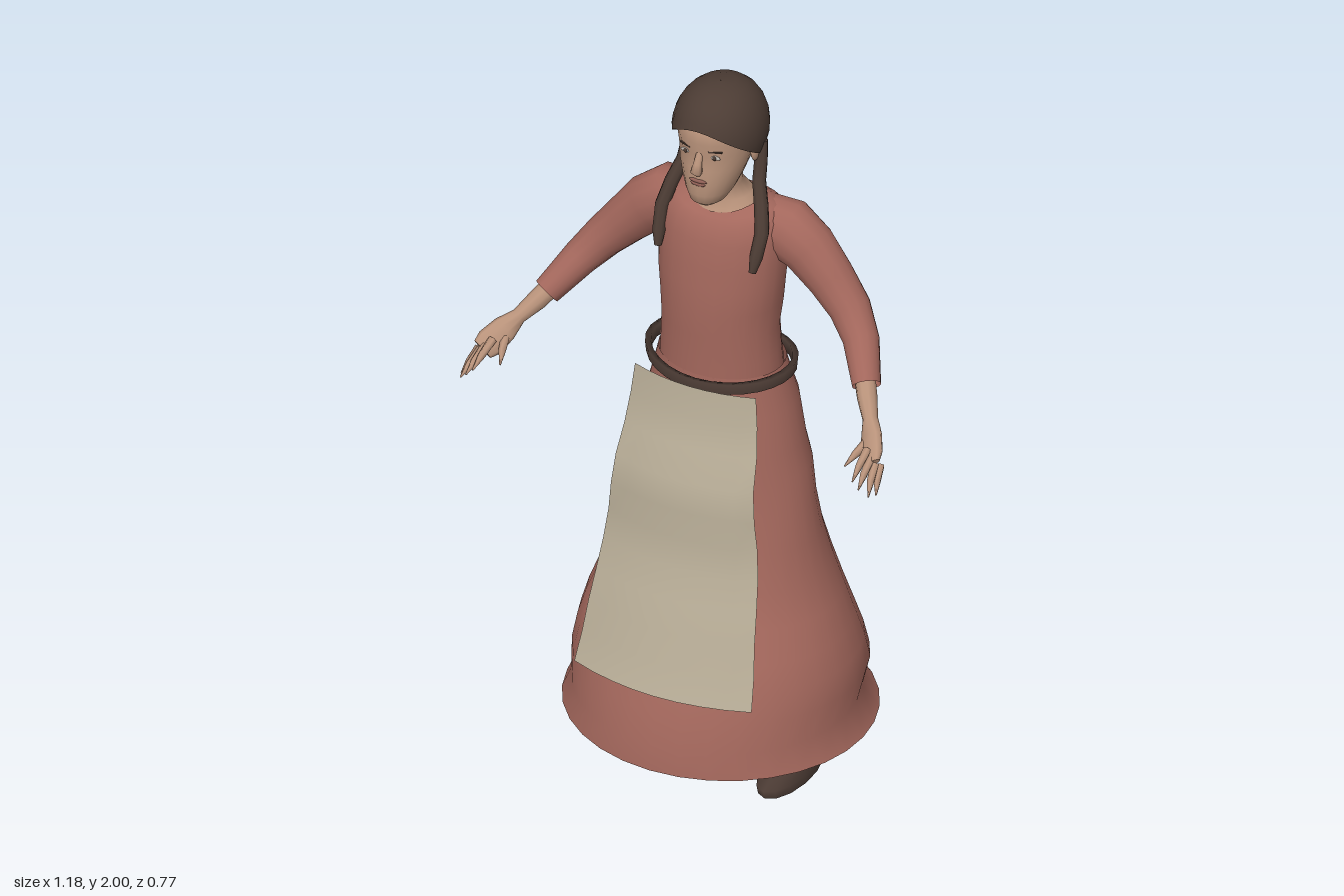
import * as THREE from 'three';

const mat = (name, color, double) => {
  const m = new THREE.MeshStandardMaterial({ color });
  m.name = name;
  if (double) m.side = THREE.DoubleSide;
  return m;
};

// Joins rings of points (each counter-clockwise about the path) into a smooth skin.
function skin(rings, { capStart = false, capEnd = false, skip = () => false } = {}) {
  const n = rings[0].length, pos = [], idx = [];
  rings.forEach(r => r.forEach(p => pos.push(p.x, p.y, p.z)));
  for (let i = 0; i < rings.length - 1; i++) for (let j = 0; j < n; j++) {
    if (skip(i, j)) continue;
    const k = (j + 1) % n, a = i * n + j, b = i * n + k;
    idx.push(a, b, b + n, a, b + n, a + n);
  }
  const cap = (i, flip) => {
    const c = new THREE.Vector3();
    rings[i].forEach(p => c.addScaledVector(p, 1 / n));
    const base = pos.length / 3;
    rings[i].concat([c]).forEach(p => pos.push(p.x, p.y, p.z));
    for (let j = 0; j < n; j++) {
      const k = (j + 1) % n;
      idx.push(base + n, base + (flip ? k : j), base + (flip ? j : k));
    }
  };
  if (capStart) cap(0, true);
  if (capEnd) cap(rings.length - 1, false);
  const g = new THREE.BufferGeometry();
  g.setAttribute('position', new THREE.Float32BufferAttribute(pos, 3));
  g.setIndex(idx);
  g.computeVertexNormals();
  return g;
}

// Upright body of oval sections [y, half width, back z, front z]; lift adjusts y round the ring.
function loft(sections, n, opts = {}) {
  const { cx = 0, lift = () => 0 } = opts;
  return skin(sections.map(([y, rx, zb, zf], i) => Array.from({ length: n }, (_, j) => {
    const a = j / n * Math.PI * 2;
    return new THREE.Vector3(cx + rx * Math.sin(a), y + lift(i, a), (zb + zf) / 2 + (zf - zb) / 2 * Math.cos(a));
  })), opts);
}

// Tapered limb through [x, y, z, radius, second radius].
function limb(points, n, opts) {
  const p = points.map(q => new THREE.Vector3(q[0], q[1], q[2]));
  return skin(p.map((c, i) => {
    const t = p[Math.min(i + 1, p.length - 1)].clone().sub(p[Math.max(i - 1, 0)]).normalize();
    const u = t.clone().cross(new THREE.Vector3(0, 0, 1)).normalize();
    const v = t.clone().cross(u);
    const [, , , r, r2 = r] = points[i];
    return Array.from({ length: n }, (_, j) => {
      const a = j / n * Math.PI * 2;
      return c.clone().addScaledVector(u, r * Math.cos(a)).addScaledVector(v, r2 * Math.sin(a));
    });
  }), opts);
}

export function createModel() {
  const model = new THREE.Group();
  const dress = mat('dress red', 0xa3675c, true);
  const linen = mat('apron linen', 0xb8ad97, true);
  const flesh = mat('skin', 0xb8927a);
  const hairMat = mat('hair brown', 0x4c3c34, true);
  const leather = mat('leather brown', 0x4a3a33);
  const lipMat = mat('lips', 0x8f5f55);
  const eyeMat = mat('eye white', 0xb9b2aa);
  const add = (name, geo, m, x = 0, y = 0, z = 0) => {
    const mesh = new THREE.Mesh(geo, m);
    mesh.name = name;
    mesh.position.set(x, y, z);
    model.add(mesh);
    return mesh;
  };

  // Skirt, open behind the apron
  add('skirt', loft([
    [0.14, 0.405, -0.38, 0.388], [0.21, 0.37, -0.325, 0.38], [0.29, 0.382, -0.35, 0.355],
    [0.36, 0.37, -0.325, 0.33], [0.43, 0.35, -0.295, 0.3], [0.51, 0.32, -0.265, 0.255],
    [0.6, 0.288, -0.24, 0.225], [0.7, 0.268, -0.2, 0.195], [0.8, 0.252, -0.178, 0.175],
    [0.89, 0.235, -0.188, 0.165], [0.96, 0.22, -0.175, 0.16], [1.07, 0.198, -0.172, 0.145],
    [1.13, 0.182, -0.152, 0.135], [1.185, 0.168, -0.14, 0.13],
  ], 32, { skip: (i, j) => i >= 5 && i < 10 && (j < 3 || j >= 29) }), dress);

  // Bodice with a scooped neckline
  add('bodice', loft([
    [1.15, 0.165, -0.135, 0.13], [1.22, 0.16, -0.127, 0.13], [1.3, 0.156, -0.122, 0.13],
    [1.37, 0.162, -0.14, 0.132], [1.44, 0.17, -0.132, 0.125], [1.5, 0.172, -0.142, 0.118],
    [1.57, 0.175, -0.143, 0.108], [1.62, 0.168, -0.135, 0.088], [1.65, 0.142, -0.125, 0.07],
    [1.664, 0.102, -0.11, 0.055],
  ], 24, { lift: (i, a) => i === 9 ? -0.03 * Math.cos(a) ** 2 : i === 8 ? -0.022 * Math.cos(a) ** 2 : 0 }), dress);

  // Belt ring
  add('belt', loft([
    [1.152, 0.2, -0.155, 0.152], [1.182, 0.203, -0.157, 0.154], [1.182, 0.187, -0.145, 0.142],
    [1.152, 0.185, -0.143, 0.14], [1.152, 0.2, -0.155, 0.152],
  ], 28, { lift: (i, a) => 0.012 * Math.sin(a) ** 2 }), leather);

  // Apron, a waved sheet
  const fold = [0.17, 0.18, 0.2, 0.235, 0.247, 0.247, 0.262, 0.287, 0.315, 0.335, 0.365];
  const apron = new THREE.PlaneGeometry(2, 1, 8, 10);
  const ap = apron.attributes.position;
  for (let i = 0; i < ap.count; i++) {
    const u = ap.getX(i), v = 0.5 - ap.getY(i);
    ap.setXYZ(i, u * (0.172 + 0.08 * v), 1.172 - 0.822 * v, fold[Math.round(v * 10)] - (0.03 + 0.02 * v) * u * u);
  }
  apron.computeVertexNormals();
  add('apron', apron, linen);

  // Neck and upper chest
  add('neck', loft([
    [1.59, 0.13, -0.12, 0.085], [1.635, 0.105, -0.11, 0.055], [1.665, 0.07, -0.085, 0.04],
    [1.7, 0.05, -0.062, 0.045], [1.8, 0.052, -0.06, 0.05],
  ], 16), flesh);

  // Head
  add('face', loft([
    [1.683, 0.025, 0.05, 0.105], [1.698, 0.046, 0.015, 0.123], [1.725, 0.062, -0.02, 0.13],
    [1.76, 0.076, -0.045, 0.13], [1.8, 0.089, -0.065, 0.127], [1.84, 0.097, -0.085, 0.122],
    [1.88, 0.1, -0.09, 0.13], [1.92, 0.094, -0.08, 0.122], [1.95, 0.07, -0.06, 0.09],
  ], 20, { capStart: true, capEnd: true }), flesh);
  add('nose', limb([[0, 1.85, 0.116, 0.009], [0, 1.82, 0.129, 0.012], [0, 1.802, 0.135, 0.016], [0, 1.793, 0.126, 0.011]],
    8, { capStart: true, capEnd: true }), flesh);
  for (const [y, w] of [[1.769, 0.026], [1.76, 0.022]])
    add('lip', new THREE.SphereGeometry(1, 10, 6), lipMat, 0, y, 0.127).scale.set(w, 0.006, 0.006);

  // Hair cap, its rim low at the nape and high on the forehead
  const rim = c => 1.815 + 0.0775 * c + 0.0275 * c * c;
  const N = 28, rows = 9;
  add('hair', skin(Array.from({ length: rows + 1 }, (_, i) => Array.from({ length: N }, (_, j) => {
    const a = j / N * Math.PI * 2, c = Math.cos(a);
    const end = Math.acos((rim(c) - 1.87) / 0.13), t = end * (1 - i / rows * 0.999);
    const r = Math.pow(Math.sin(t), 0.85);
    return new THREE.Vector3(0.12 * r * Math.sin(a), 1.87 + 0.13 * Math.cos(t), 0.004 + 0.139 * r * c);
  }))), hairMat);

  for (const s of [1, -1]) {
    const side = s > 0 ? 'left' : 'right';
    const part = (name, pts, n, m, opts) =>
      add(side + name, limb(pts.map(([x, ...q]) => [x * s, ...q]), n, opts), m);
    const closed = { capStart: true, capEnd: true };

    // Eye and brow
    add(side + 'Eye', new THREE.SphereGeometry(1, 10, 6), eyeMat, s * 0.041, 1.842, 0.113).scale.set(0.016, 0.006, 0.005);
    add(side + 'Pupil', new THREE.SphereGeometry(1, 8, 6), hairMat, s * 0.041, 1.842, 0.116).scale.set(0.006, 0.006, 0.004);
    const brow = add(side + 'Brow', new THREE.BoxGeometry(0.036, 0.004, 0.006), hairMat, s * 0.042, 1.86, 0.114);
    brow.rotation.y = s * 0.35;
    // Ear
    add(side + 'Ear', new THREE.SphereGeometry(1, 8, 6), flesh, s * 0.096, 1.815, 0.0).scale.set(0.01, 0.028, 0.018);

    // Braid
    part('Braid', [[0.106, 1.84, -0.02, 0.014], [0.104, 1.78, -0.015, 0.018], [0.108, 1.73, 0.002, 0.018],
      [0.128, 1.67, 0.028, 0.019], [0.142, 1.61, 0.052, 0.019], [0.138, 1.55, 0.075, 0.018],
      [0.134, 1.51, 0.088, 0.01]], 8, hairMat, closed);

    // Sleeve
    part('Sleeve', [[0.1, 1.585, -0.045, 0.07], [0.165, 1.575, -0.045, 0.085, 0.075], [0.225, 1.535, -0.045, 0.076, 0.068],
      [0.29, 1.465, -0.042, 0.064, 0.06], [0.35, 1.4, -0.03, 0.055], [0.4, 1.34, 0.005, 0.047],
      [0.455, 1.265, 0.08, 0.037]], 14, dress);

    // Forearm and palm
    part('Hand', [[0.43, 1.3, 0.05, 0.028], [0.47, 1.248, 0.105, 0.026], [0.5, 1.215, 0.145, 0.02],
      [0.522, 1.19, 0.18, 0.034, 0.018], [0.543, 1.165, 0.22, 0.038, 0.016], [0.553, 1.153, 0.24, 0.03, 0.01]], 10, flesh, closed);
    // Pointed fingers and thumb
    const fingers = [[0.57, 1.145, 0.225, 0.59, 1.095, 0.285], [0.56, 1.15, 0.235, 0.58, 1.1, 0.308],
      [0.548, 1.163, 0.235, 0.558, 1.122, 0.32], [0.533, 1.18, 0.225, 0.54, 1.14, 0.318], [0.515, 1.18, 0.185, 0.49, 1.14, 0.265]];
    for (const [x, y, z, X, Y, Z] of fingers)
      part('Finger', [[x, y, z, 0.012], [(x + X) / 2, (y + Y) / 2, (z + Z) / 2 + 0.005, 0.01], [X, Y, Z, 0.002]], 6, flesh, closed);

    // Ankle and shoe
    add(side + 'Ankle', loft([[0.1, 0.026, -0.065, -0.01], [0.18, 0.026, -0.065, -0.01]], 10,
      { cx: s * 0.222, capEnd: true }), flesh);
    add(side + 'Shoe', loft([[0, 0.06, -0.1, 0.18], [0.025, 0.06, -0.1, 0.188], [0.06, 0.05, -0.094, 0.12],
      [0.1, 0.04, -0.085, 0.04], [0.128, 0.034, -0.076, 0.005]], 14,
      { cx: s * 0.218, capStart: true, capEnd: true }), leather);
  }
  return model;
}
